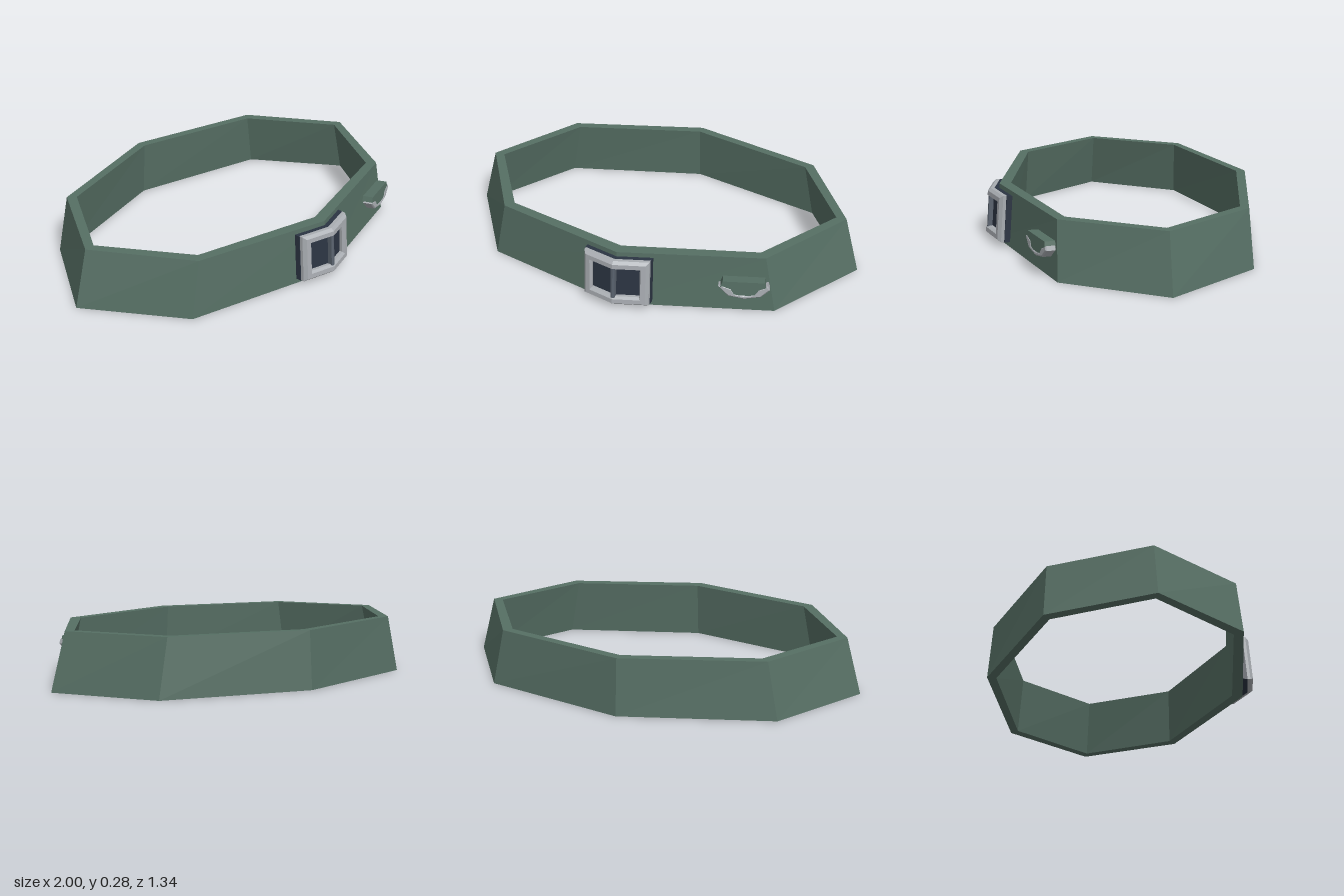
import * as THREE from 'three';

const material = (color) => new THREE.MeshStandardMaterial({ color, flatShading: true, side: THREE.DoubleSide });

// Skin a closed tube through a list of closed rings of [x, y, z] points.
function loft(rings) {
  const n = rings[0].length, pos = [];
  rings.forEach((ring, r) => {
    const next = rings[(r + 1) % rings.length];
    for (let i = 0; i < n; i++) {
      const j = (i + 1) % n;
      pos.push(...ring[i], ...ring[j], ...next[j], ...ring[i], ...next[j], ...next[i]);
    }
  });
  const g = new THREE.BufferGeometry();
  g.setAttribute('position', new THREE.Float32BufferAttribute(pos, 3));
  g.computeVertexNormals();
  return g;
}

// Eight-sided belt outline, mirrored about x = 0.
function outline(y, front, cornerX, cornerFront, sideX, cornerBack, back) {
  const half = [[cornerX, y, cornerFront], [sideX, y, -0.03], [cornerX, y, cornerBack]];
  const mirrored = half.map(([x, h, z]) => [-x, h, z]).reverse();
  return [[0, y, front], ...half, [0, y, back], ...mirrored];
}

// Fold a flat geometry around the front ridge of the belt and lean it back.
function foldOntoBelt(g) {
  const p = g.attributes.position;
  for (let i = 0; i < p.count; i++) {
    p.setZ(i, p.getZ(i) + 0.617 - 0.272 * Math.abs(p.getX(i)) - 0.075 * p.getY(i));
  }
  g.computeVertexNormals();
  return g;
}

function foldedBox(w, h, d, y, z) {
  return foldOntoBelt(new THREE.BoxGeometry(w, h, d, 2, 1, 1).translate(0, y, z));
}

function polygon(points, depth, bevel) {
  const shape = new THREE.Shape(points.map(([x, y]) => new THREE.Vector2(x, y)));
  return new THREE.ExtrudeGeometry(shape, {
    depth, bevelEnabled: bevel > 0, bevelSize: bevel, bevelThickness: bevel, bevelOffset: -bevel, bevelSegments: 1,
  });
}

export function createModel() {
  const model = new THREE.Group();
  const green = material(0x566f64), metal = material(0xa9adb2), navy = material(0x2b3442);
  const add = (parent, name, geometry, mat) => {
    const mesh = new THREE.Mesh(geometry, mat);
    mesh.name = name;
    parent.add(mesh);
    return mesh;
  };

  // Tapered belt band
  add(model, 'beltBand', loft([
    outline(0, 0.617, 0.71, 0.424, 1, -0.482, -0.67),
    outline(0.275, 0.597, 0.655, 0.414, 0.925, -0.468, -0.65),
    outline(0.275, 0.54, 0.62, 0.375, 0.875, -0.435, -0.605),
    outline(0, 0.562, 0.672, 0.388, 0.948, -0.45, -0.625),
  ]), green);

  // Buckle: dark backing, bevelled frame and centre prong
  const buckle = new THREE.Group();
  buckle.name = 'buckle';
  model.add(buckle);
  add(buckle, 'buckleBacking', foldedBox(0.325, 0.23, 0.03, 0.138, 0.012), navy);
  const section = [[0, 0.024], [0, 0.042], [0.012, 0.056], [0.034, 0.056], [0.042, 0.042], [0.042, 0.024]];
  const frame = loft(section.map(([inset, z]) => {
    const x = 0.16 - inset, low = 0.024 + inset, high = 0.254 - inset;
    return [[0, low, z], [x, low, z], [x, high, z], [0, high, z], [-x, high, z], [-x, low, z]];
  }));
  add(buckle, 'buckleFrame', foldOntoBelt(frame), metal);
  add(buckle, 'buckleProng', foldedBox(0.02, 0.17, 0.022, 0.139, 0.04), material(0x59626e));

  // Side clip: a cloth tab with a metal half-ring hanging under it
  const clip = new THREE.Group();
  clip.name = 'sideClip';
  clip.position.set(0.57, 0.135, 0.451);
  clip.rotation.set(-0.075, 0.266, 0, 'YXZ');
  model.add(clip);
  add(clip, 'clipTab', polygon(
    [[-0.1, 0.042], [-0.112, 0.012], [-0.06, -0.028], [0.06, -0.028], [0.1, 0.012], [0.092, 0.042]], 0.052, 0), green);
  add(clip, 'clipRing', polygon([
    [-0.12, 0.014], [-0.075, -0.034], [0, -0.048], [0.075, -0.034], [0.115, 0.005], [0.108, 0.026],
    [0.062, 0.006], [0.045, -0.02], [0, -0.028], [-0.045, -0.02], [-0.06, 0.006], [-0.1, 0.02],
  ], 0.04, 0.006).translate(0, 0, 0.008), metal);

  return model;
}
